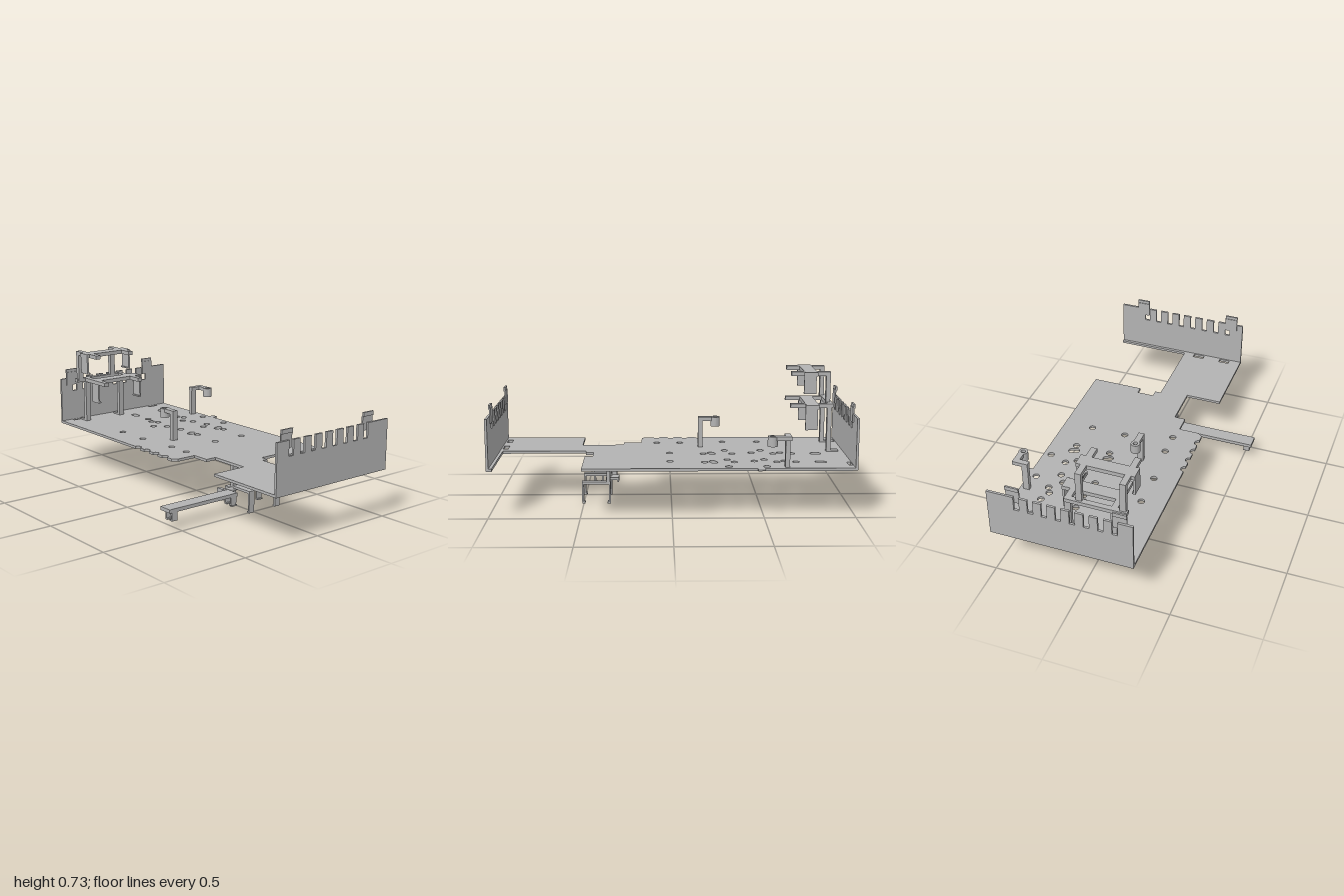
import * as THREE from 'three';

export function createModel() {
  const model = new THREE.Group();
  model.name = 'sheetMetalBracket';
  const steel = new THREE.MeshStandardMaterial({ color: 0xb3b3b3 });
  steel.name = 'steel grey';

  const add = (name, geo, parent = model) => {
    const m = new THREE.Mesh(geo, steel);
    m.name = name;
    parent.add(m);
    return m;
  };
  // box from its min and max on each axis
  const box = (name, x0, x1, y0, y1, z0, z1, parent) => {
    const m = add(name, new THREE.BoxGeometry(x1 - x0, y1 - y0, z1 - z0), parent);
    m.position.set((x0 + x1) / 2, (y0 + y1) / 2, (z0 + z1) / 2);
    return m;
  };
  const group = (name) => {
    const g = new THREE.Group();
    g.name = name;
    model.add(g);
    return g;
  };
  const extrude = (shape, depth) =>
    new THREE.ExtrudeGeometry(shape, { depth, bevelEnabled: false, curveSegments: 10 });

  // ---- base plate, drawn as (x, -z) and laid flat
  const plate = new THREE.Shape();
  const P = (x, z) => plate.lineTo(x, -z);
  plate.moveTo(-0.3, -1);
  [[0.51, 1], [0.51, 0.97], [0.075, 0.97], [0.075, 0.49], [0.11, 0.49], [0.11, 0.445], [0.21, 0.445],
    [0.21, 0.49], [0.51, 0.49], [0.51, -1], [-0.3, -1]].forEach(([x, z]) => P(x, z));
  for (const z of [-0.17, -0.085, 0, 0.085]) {
    P(-0.3, z - 0.022);
    plate.absarc(-0.3, -z, 0.022, Math.PI / 2, -Math.PI / 2, true);
  }
  [[-0.3, 0.15], [-0.275, 0.175], [-0.155, 0.175], [-0.155, 0.28], [-0.09, 0.28], [-0.09, 0.52],
    [-0.3, 0.52]].forEach(([x, z]) => P(x, z));

  const R = 0.019;
  const hole = (x, z) => {
    const h = new THREE.Path();
    h.absarc(x, -z, R, 0, Math.PI * 2, true);
    plate.holes.push(h);
  };
  // round-ended slot; dx, dz are half the distance between its end centres
  const slot = (x, z, dx, dz) => {
    const h = new THREE.Path();
    const a = Math.atan2(-dz, dx);
    h.absarc(x + dx, -(z + dz), R, a + Math.PI / 2, a - Math.PI / 2, true);
    h.absarc(x - dx, -(z - dz), R, a - Math.PI / 2, a - Math.PI * 1.5, true);
    h.closePath();
    plate.holes.push(h);
  };
  const rect = (x0, x1, z0, z1) => {
    const h = new THREE.Path();
    h.setFromPoints([[x0, z0], [x1, z0], [x1, z1], [x0, z1]].map(([x, z]) => new THREE.Vector2(x, -z)));
    plate.holes.push(h);
  };
  for (const x of [0.153, 0.36]) for (const z of [-0.683, -0.577, -0.344, -0.18]) hole(x, z);
  for (const x of [0.132, 0.338]) for (const z of [-0.619, -0.455, 0.011]) hole(x, z);
  for (const x of [-0.164, 0.069, 0.302, 0.466]) for (const z of [-0.513, -0.307]) hole(x, z);
  hole(-0.143, -0.053);
  hole(-0.143, 0.085);
  slot(0.153, -0.82, 0, 0.013);
  slot(0.361, -0.82, 0.004, -0.012);
  slot(0.143, -0.228, 0.01, -0.005);
  slot(0.355, -0.228, 0.012, -0.005);
  rect(-0.228, -0.16, -0.984, -0.962);
  rect(0.37, 0.438, -0.984, -0.962);
  rect(-0.228, -0.164, 0.948, 0.978);
  rect(-0.058, 0.01, 0.948, 0.978);
  const plateGeo = extrude(plate, 0.015);
  plateGeo.rotateX(-Math.PI / 2);
  add('basePlate', plateGeo).position.y = 0.265;

  // ---- notched end walls with spring tabs
  const wall = new THREE.Shape();
  wall.moveTo(-0.3, 0.265);
  wall.lineTo(0.51, 0.265);
  wall.lineTo(0.51, 0.55);
  for (let i = 7; i >= 0; i--) {
    const x = -0.217 + i * 0.0775;
    wall.lineTo(x + 0.031, 0.55);
    wall.lineTo(x + 0.031, 0.467);
    wall.lineTo(x, 0.467);
    wall.lineTo(x, 0.55);
  }
  wall.lineTo(-0.3, 0.55);
  const wallGeo = extrude(wall, 0.013);
  for (const s of [1, -1]) {
    const g = group(s > 0 ? 'frontWall' : 'backWall');
    add('notchedWall', wallGeo, g).position.z = s > 0 ? 0.987 : -1;
    for (const x of [-0.263, 0.326]) {
      const zs = (a, b) => (s > 0 ? [a, b] : [-b, -a]);
      box('tab', x, x + 0.076, 0.507, 0.59, ...zs(0.98, 0.988), g);
      box('tabLip', x, x + 0.076, 0.585, 0.608, ...zs(0.984, 0.994), g);
    }
  }

  // ---- clip frames over the back of the plate
  const clipFrame = (name, x0, x1, posts, yTop, yPad, yPost, zFront) => {
    const g = group(name);
    box('crossBar', x0, x1, yTop - 0.023, yTop, -0.838, -0.765, g);
    box('leftPad', x1 - 0.011, x1, yPad, yTop, -0.83, -0.76, g);
    box('rightPad', x0, x0 + 0.011, yPad, yTop, -0.83, -0.76, g);
    box('leftPadFoot', x1 - 0.02, x1, yPad, yPad + 0.008, -0.83, -0.76, g);
    box('rightPadFoot', x0, x0 + 0.02, yPad, yPad + 0.008, -0.83, -0.76, g);
    for (const x of posts) {
      box('arm', x, x + 0.033, yTop - 0.023, yTop, -0.91, zFront, g);
      box('post', x, x + 0.033, yPost, yTop, -0.915, -0.89, g);
    }
    return g;
  };
  clipFrame('upperClipFrame', -0.25, 0.07, [-0.23, 0.01], 0.733, 0.61, 0.545, -0.69);
  const lower = clipFrame('lowerClipFrame', -0.172, 0.155, [-0.18, 0.074], 0.558, 0.415, 0.275, -0.68);
  box('backBar', -0.238, 0.107, 0.536, 0.558, -0.925, -0.895, lower);
  for (const x of [-0.18, 0.074]) box('foot', x, x + 0.033, 0.275, 0.29, -0.958, -0.89, lower);

  // ---- hooks ending in a hollow pin
  const pin = (x, z, parent) => {
    const ring = new THREE.Shape();
    ring.absarc(0, 0, 0.027, 0, Math.PI * 2, false);
    const bore = new THREE.Path();
    bore.absarc(0, 0, 0.013, 0, Math.PI * 2, true);
    ring.holes.push(bore);
    const geo = extrude(ring, 0.055);
    geo.rotateX(-Math.PI / 2);
    add('pin', geo, parent).position.set(x, 0.404, z);
  };
  const innerHook = group('innerHook');
  box('post', -0.053, -0.019, 0.275, 0.459, -0.183, -0.157, innerHook);
  box('arm', -0.053, -0.019, 0.437, 0.459, -0.24, -0.157, innerHook);
  pin(-0.036, -0.257, innerHook);

  const sideHook = group('sideHook');
  box('post', 0.452, 0.488, 0.275, 0.459, -0.635, -0.61, sideHook);
  box('arm', 0.452, 0.543, 0.437, 0.459, -0.637, -0.605, sideHook);
  box('reach', 0.51, 0.543, 0.437, 0.459, -0.61, -0.555, sideHook);
  pin(0.522, -0.535, sideHook);
  box('plateEar', 0.505, 0.543, 0.272, 0.28, -0.5, -0.46, sideHook);

  // ---- two legs below the plate, each an upside-down U on a hanger
  for (const x of [-0.038, 0.155]) {
    const g = group('leg');
    const x1 = x + 0.037;
    box('hanger', x, x1, 0.115, 0.27, 0.35, 0.37, g);
    box('bridge', x, x1, 0.112, 0.126, 0.347, 0.51, g);
    box('frontShin', x, x1, 0, 0.12, 0.5, 0.51, g);
    box('backShin', x, x1, 0, 0.12, 0.347, 0.357, g);
    box('frontToe', x, x1, 0, 0.008, 0.492, 0.51, g);
    box('backToe', x, x1, 0, 0.008, 0.347, 0.365, g);
  }

  // ---- sideways arm with small clips and a rolled hinge
  const arm = group('sideArm');
  box('bar', -0.55, -0.08, 0.095, 0.115, 0.376, 0.458, arm);
  for (const x of [-0.535, -0.124]) {
    for (const [z, t] of [[0.447, 0.437], [0.4, 0.4]]) {
      box('clip', x, x + 0.037, 0.047, 0.1, z, z + 0.01, arm);
      box('clipToe', x, x + 0.037, 0.047, 0.055, t, t + 0.02, arm);
    }
  }
  const roll = add('hingeRoll', new THREE.CylinderGeometry(0.014, 0.014, 0.07, 16), arm);
  roll.rotation.z = Math.PI / 2;
  roll.position.set(-0.07, 0.105, 0.366);
  box('hingeStrip', -0.11, -0.088, 0.092, 0.117, 0.32, 0.38, arm);
  box('hingeTab', -0.04, 0.04, 0.098, 0.112, 0.31, 0.38, arm);
  box('hingeTabLip', -0.04, 0.04, 0.085, 0.112, 0.305, 0.315, arm);
  return model;
}
